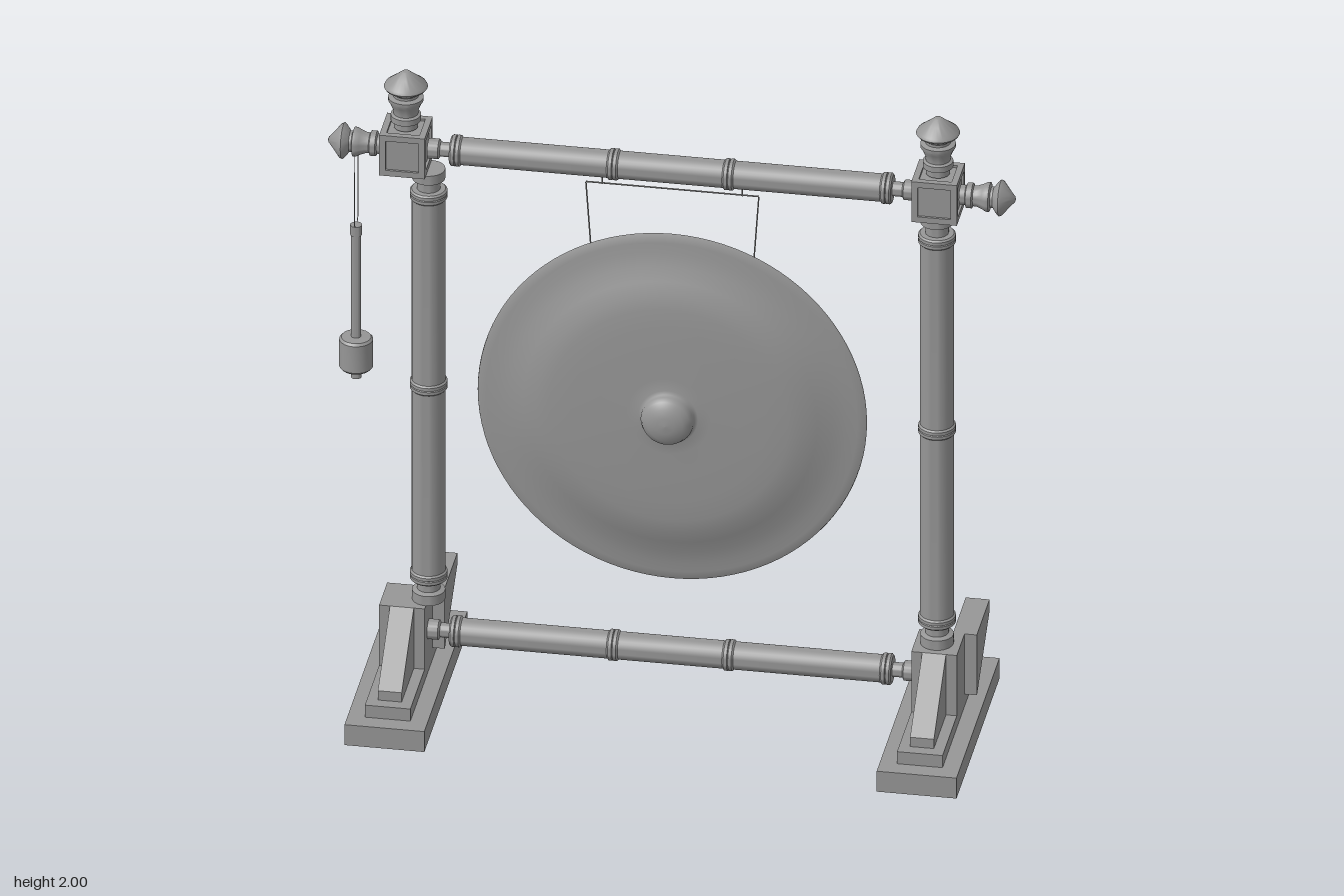
import * as THREE from 'three';
import { mergeGeometries, toCreasedNormals } from 'three/addons/utils/BufferGeometryUtils.js';

const COLOR = 0x969696;
const solid = new THREE.MeshStandardMaterial({ color: COLOR });
const shell = new THREE.MeshStandardMaterial({ color: COLOR, side: THREE.DoubleSide });

function add(parent, name, geometry, x = 0, y = 0, z = 0, material = solid) {
  const mesh = new THREE.Mesh(geometry, material);
  mesh.name = name;
  mesh.position.set(x, y, z);
  parent.add(mesh);
  return mesh;
}

const box = (w, h, d) => new THREE.BoxGeometry(w, h, d);

// Turned part from [radius, height] pairs, bottom to top
function turned(profile, segments = 32) {
  const points = profile.map(([r, y]) => new THREE.Vector2(r, y));
  return toCreasedNormals(new THREE.LatheGeometry(points, segments), 0.6);
}

// Raised ring: small rounded band on a shaft of radius r
const band = (r, y, w) => [
  [r, y - w], [r + 0.005, y - w * 0.7], [r + 0.005, y - w * 0.12], [r + 0.002, y],
  [r + 0.005, y + w * 0.12], [r + 0.005, y + w * 0.7], [r, y + w],
];

// Turned rail 1.39 long with a collar, neck and ring at each end
function rail(r, collar, neck, bands) {
  const end = [
    [0, -0.695], [collar, -0.695], [collar, -0.665], [neck, -0.66], [neck, -0.632],
    ...band(r, -0.615, 0.016),
  ];
  const mirrored = end.map(([a, y]) => [a, -y]).reverse();
  return turned([...end, ...bands.flatMap((y) => band(r, y, 0.016)), ...mirrored]);
}

// Taut cord with sharp corners at the given points
function cord(points, radius) {
  const corners = points.map((p) => new THREE.Vector3(...p));
  return mergeGeometries(corners.slice(1).map((end, i) =>
    new THREE.TubeGeometry(new THREE.LineCurve3(corners[i], end), 1, radius, 6)));
}

// Bracket outline given as [z, y], extruded across x
function bracket(outline) {
  const shape = new THREE.Shape(outline.map(([z, y]) => new THREE.Vector2(-z, y)));
  const g = new THREE.ExtrudeGeometry(shape, { depth: 0.068, bevelEnabled: false });
  g.translate(0, 0, -0.034);
  g.rotateY(Math.PI / 2);
  return g;
}

// Stepped foot, urn and pointed cap
const finialProfile = [
  [0, 0], [0.034, 0], [0.034, 0.018], [0.043, 0.022], [0.043, 0.04], [0.035, 0.044],
  [0.036, 0.056], [0.043, 0.074], [0.05, 0.086], [0.05, 0.096], [0.036, 0.1],
  [0.036, 0.108], [0.058, 0.124], [0.062, 0.13], [0.058, 0.138], [0.03, 0.16],
  [0.01, 0.177], [0, 0.18],
];

// Cube with a shallow sunken panel on every face
function cornerBlock(parent, x, y) {
  const block = new THREE.Group();
  block.name = 'cornerBlock';
  block.position.set(x, y, 0);
  parent.add(block);
  add(block, 'blockCore', box(0.116, 0.116, 0.116));
  for (const a of [-1, 1]) {
    for (const b of [-1, 1]) {
      const p = a * 0.056, q = b * 0.056;
      add(block, 'blockEdge', box(0.13, 0.018, 0.018), 0, p, q);
      add(block, 'blockEdge', box(0.018, 0.13, 0.018), p, 0, q);
      add(block, 'blockEdge', box(0.018, 0.018, 0.13), p, q, 0);
    }
  }
}

export function createModel() {
  const model = new THREE.Group();
  model.name = 'gongStand';

  const postGeometry = rail(0.048, 0.047, 0.033, [0]);
  const beamGeometry = rail(0.04, 0.029, 0.021, [-0.165, 0.165]);
  const finialGeometry = turned(finialProfile);
  const frontBracket = bracket([[0.06, 0.105], [0.26, 0.105], [0.26, 0.135], [0.065, 0.3], [0.06, 0.3]]);
  const rearBracket = bracket([[-0.06, 0.105], [-0.06, 0.3], [-0.265, 0.3], [-0.265, 0.262], [-0.065, 0.105]]);

  // Feet, posts, corner blocks and finials
  for (const side of [-1, 1]) {
    const x = side * 0.76;
    const stand = new THREE.Group();
    stand.name = side > 0 ? 'leftStand' : 'rightStand';
    model.add(stand);
    add(stand, 'foot', box(0.228, 0.066, 0.694), x, 0.033);
    add(stand, 'footStep', box(0.13, 0.039, 0.59), x, 0.0855);
    add(stand, 'postBlock', box(0.13, 0.195, 0.13), x, 0.2025);
    add(stand, 'frontBracket', frontBracket, x);
    add(stand, 'rearBracket', rearBracket, x + 0.066);
    add(stand, 'post', postGeometry, side > 0 ? 0.757 : -0.695, 0.995);
    cornerBlock(stand, x, 1.755);
    add(stand, 'topFinial', finialGeometry, x, 1.82);
    const sideFinial = add(stand, 'sideFinial', finialGeometry, side * 0.824, 1.755);
    sideFinial.rotation.z = -side * Math.PI / 2;
    sideFinial.scale.set(0.84, 0.88, 0.84);
  }

  // Cross beams
  add(model, 'topBeam', beamGeometry, 0, 1.755).rotation.z = Math.PI / 2;
  add(model, 'bottomBeam', beamGeometry, 0, 0.2).rotation.z = Math.PI / 2;

  // Gong: thin dished shell with a central boss
  const gongProfile = [
    [0.556, -0.006], [0.554, 0.001], [0.53, 0.004], [0.5, 0.008], [0.46, 0.016], [0.42, 0.031], [0.38, 0.044],
    [0.34, 0.051], [0.28, 0.055], [0.2, 0.058], [0.12, 0.06], [0.085, 0.062], [0.076, 0.068],
    [0.075, 0.082], [0.068, 0.098], [0.05, 0.111], [0.025, 0.117], [0, 0.119],
  ].map(([r, z]) => new THREE.Vector2(r, z));
  const gong = add(model, 'gong', new THREE.LatheGeometry(gongProfile, 96), 0, 0.987, 0, shell);
  gong.rotation.x = Math.PI / 2;

  // Hanging cord behind the gong
  const z = -0.006;
  add(model, 'gongCord', cord([
    [-0.165, 0.485, z], [-0.247, 1.688, z], [0.247, 1.688, z], [0.165, 0.485, z], [-0.165, 0.485, z],
  ], 0.0022));
  for (const side of [-1, 1]) {
    add(model, 'cordHook', new THREE.CylinderGeometry(0.0022, 0.0022, 0.05, 6), side * 0.2, 1.71, z);
  }

  // Mallet hanging from the right side finial
  const mallet = new THREE.Group();
  mallet.name = 'mallet';
  mallet.position.x = -0.902;
  model.add(mallet);
  add(mallet, 'malletBody', turned([
    [0, 0.995], [0.015, 0.995], [0.015, 1.025], [0.042, 1.025], [0.048, 1.032], [0.048, 1.118], [0.042, 1.125],
    [0.014, 1.127], [0.014, 1.455], [0.017, 1.456], [0.017, 1.487], [0, 1.488],
  ], 24));
  add(mallet, 'malletString', cord([
    [0, 1.47, 0], [0, 1.5, 0.028], [0, 1.755, 0.031], [0, 1.79, 0], [0, 1.755, -0.031], [0, 1.5, -0.028], [0, 1.47, 0],
  ], 0.0012));

  return model;
}
